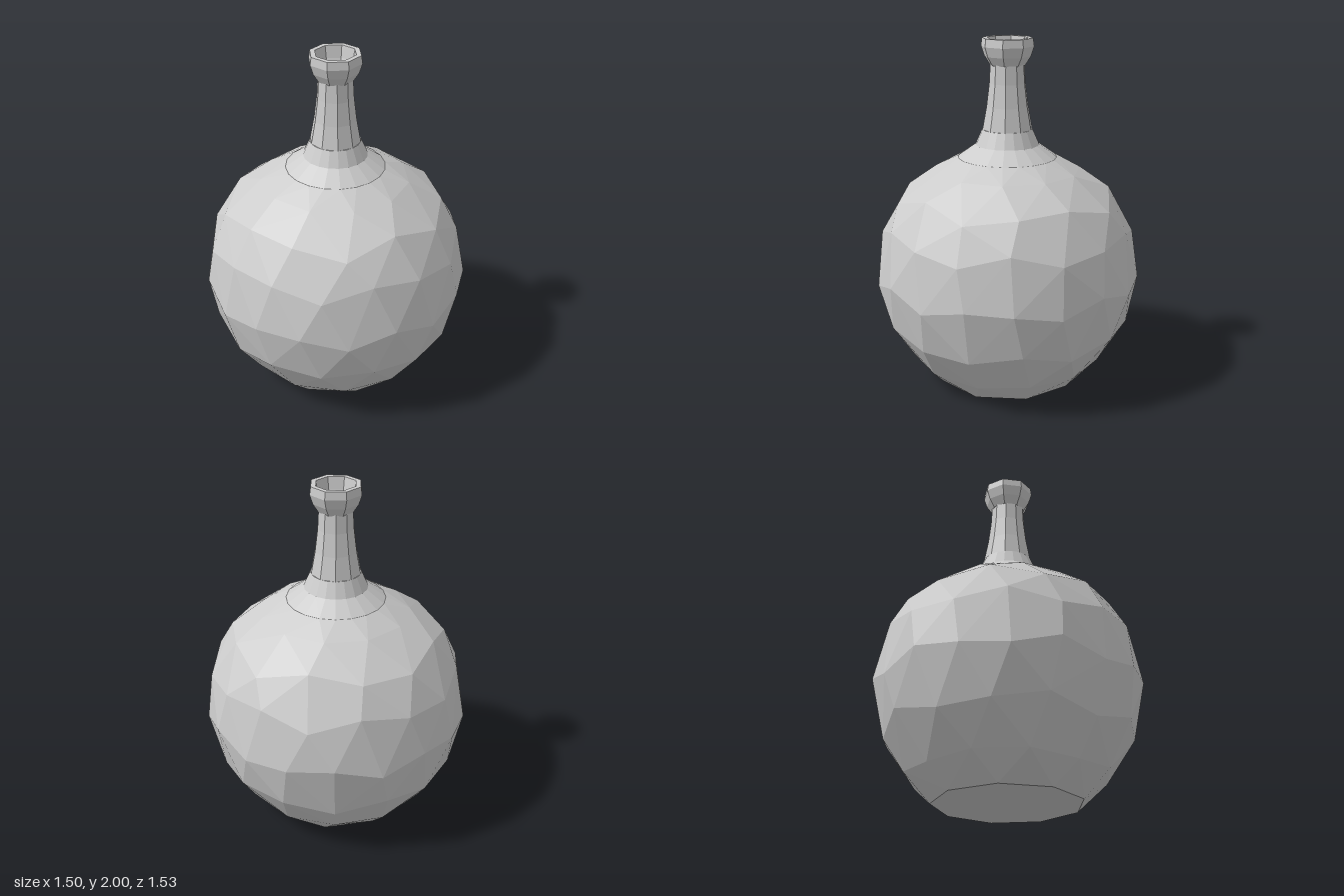
import * as THREE from 'three';
import { ConvexGeometry } from 'three/addons/geometries/ConvexGeometry.js';

const clay = new THREE.MeshStandardMaterial({ color: 0xcccccc, flatShading: true });
clay.name = 'pale grey';

function addPart(group, name, geometry) {
  const mesh = new THREE.Mesh(geometry, clay);
  mesh.name = name;
  group.add(mesh);
}

// Faceted turned part from [radius, height] pairs
function turned(profile, sides, twist = 0) {
  const points = profile.map(([r, y]) => new THREE.Vector2(r, y));
  const geometry = new THREE.LatheGeometry(points, sides, twist).toNonIndexed();
  geometry.computeVertexNormals();
  return geometry;
}

// Faceted globe: staggered rings of corners on a sphere, cut flat at the base
function globe() {
  const R = 0.764, centre = 0.66, points = [];
  const ring = (n, twist, radiusAt, heightAt) => {
    for (let i = 0; i < n; i++) {
      const a = ((i + twist) / n) * Math.PI * 2;
      const y = heightAt(i);
      const r = radiusAt(y);
      points.push(new THREE.Vector3(r * Math.sin(a), y, r * Math.cos(a)));
    }
  };
  const onSphere = (y) => Math.sqrt(R * R - (y - centre) ** 2);
  ring(9, 0.3, () => 0.42, () => 0);
  [[12, 0.14], [15, 0.36], [18, 0.64], [16, 0.92], [13, 1.12]].forEach(([n, y], k) => {
    const wobble = k === 0 ? 0.012 : 0.04;
    ring(n, k * 0.5, onSphere, (i) => y + wobble * Math.sin(i * 2.4 + k));
  });
  ring(11, 0.25, () => 0.42, () => 1.26);
  ring(20, 0, () => 0.285, () => 1.33);
  return new ConvexGeometry(points);
}

export function createModel() {
  const flask = new THREE.Group();
  flask.name = 'flask';

  addPart(flask, 'globe', globe());

  // Flared shoulder joining globe and neck
  addPart(flask, 'shoulder', turned(
    [[0.285, 1.328], [0.182, 1.402], [0.143, 1.49], [0.1, 1.49]], 20));

  // Tapering neck
  addPart(flask, 'neck', turned(
    [[0.145, 1.485], [0.12, 1.62], [0.104, 1.75], [0.098, 1.86]], 10));

  // Cup-shaped lip with a flat rim
  addPart(flask, 'lip', turned(
    [[0.085, 1.85], [0.1, 1.85], [0.132, 1.9], [0.15, 1.955], [0.144, 2], [0.115, 2]], 8, Math.PI / 8));

  // Inside of the mouth and neck
  addPart(flask, 'bore', turned(
    [[0.118, 2], [0.105, 1.93], [0.075, 1.85], [0.072, 1.335]], 8, Math.PI / 8));

  return flask;
}
